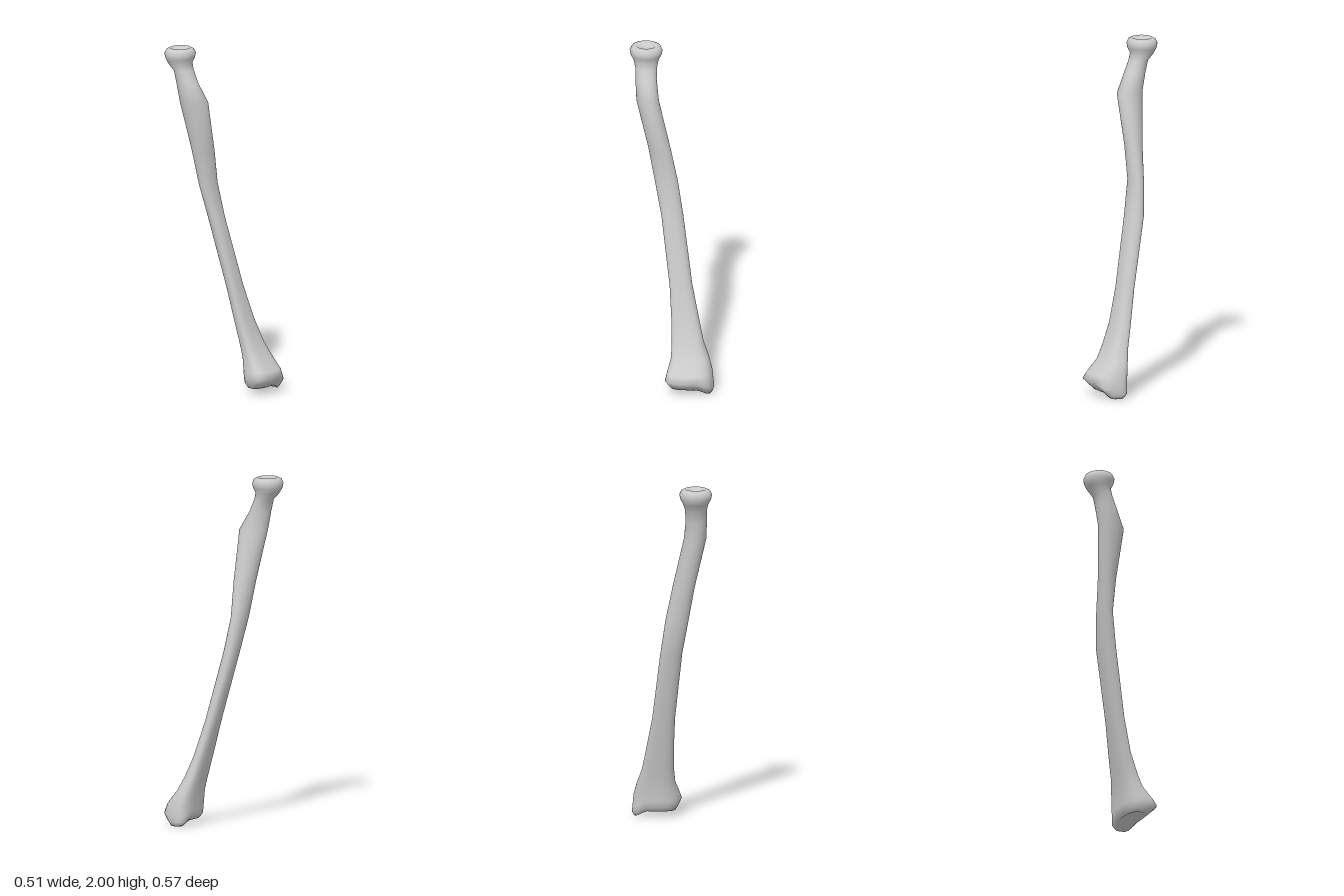
import * as THREE from 'three';

const { smoothstep } = THREE.MathUtils;
const SIDES = 32;

// Flared lower end, shaft, bump and neck: [y, xMin, xMax, zMin, zMax]
const SHAFT = [
  [0.03, 0.01, 0.245, 0.115, 0.225],
  [0.055, -0.005, 0.255, 0.092, 0.25],
  [0.09, -0.02, 0.252, 0.088, 0.285],
  [0.125, -0.012, 0.245, 0.085, 0.262],
  [0.2, 0.008, 0.222, 0.075, 0.2],
  [0.28, 0.01, 0.19, 0.058, 0.163],
  [0.4, 0.005, 0.162, 0.03, 0.115],
  [0.6, -0.01, 0.118, -0.015, 0.065],
  [1, -0.065, 0.058, -0.11, -0.017],
  [1.2, -0.107, 0.026, -0.135, -0.054],
  [1.4, -0.145, -0.015, -0.155, -0.045],
  [1.69, -0.214, -0.083, -0.193, -0.03],
  [1.8, -0.222, -0.1, -0.213, -0.09],
  [1.87, -0.225, -0.1, -0.228, -0.122],
];

// Round head with a shallow dish on top: [y, radius]
const HEAD = [[1.91, 0.072], [1.94, 0.088], [1.967, 0.094], [1.99, 0.083], [2, 0.062], [1.985, 0.035], [1.98, 0]];
const headRing = ([y, r]) => [y, -0.165 - r, -0.165 + r, -0.2 - r * 0.93, -0.2 + r * 0.93];

// A smaller ring set into the lower joint surface
function jointRing(scale, rise) {
  const [y, x0, x1, z0, z1] = SHAFT[0];
  const cx = (x0 + x1) / 2, cz = (z0 + z1) / 2;
  const rx = ((x1 - x0) / 2) * scale, rz = ((z1 - z0) / 2) * scale;
  return [y + rise, cx - rx, cx + rx, cz - rz, cz + rz];
}

const rounded = (v, p) => Math.sign(v) * Math.pow(Math.abs(v), p);

function loft(sections) {
  const positions = [];
  const index = [];
  sections.forEach(([y, x0, x1, z0, z1], i) => {
    // sections are boxy below and round above, and lean one way below, the other near the bump
    const power = 0.73 + 0.27 * smoothstep(y, 0.1, 1.5);
    const skew = -0.25 + 0.45 * smoothstep(y, 1, 1.35) - 0.2 * smoothstep(y, 1.65, 1.82);
    for (let j = 0; j < SIDES; j++) {
      const t = (j / SIDES) * Math.PI * 2;
      const x = (x0 + x1) / 2 + ((x1 - x0) / 2) * rounded(Math.cos(t), power);
      const z = (z0 + z1) / 2 + ((z1 - z0) / 2) * rounded(Math.sin(t + skew), power);
      // the pointed tip hangs below the outer side of the joint
      const drop = y < 0.1 ? 0.03 * smoothstep(x, 0.16, 0.235) : 0;
      positions.push(x, y - drop, z);
      if (i < sections.length - 1) {
        const a = i * SIDES + j;
        const b = i * SIDES + ((j + 1) % SIDES);
        index.push(a, a + SIDES, b, b, a + SIDES, b + SIDES);
      }
    }
  });
  const geometry = new THREE.BufferGeometry();
  geometry.setAttribute('position', new THREE.Float32BufferAttribute(positions, 3));
  geometry.setIndex(index);
  geometry.computeVertexNormals();
  return geometry;
}

export function createModel() {
  const group = new THREE.Group();
  group.name = 'forearmBone';
  const sections = [jointRing(0, 0.025), jointRing(0.5, 0.02), ...SHAFT, ...HEAD.map(headRing)];
  const bone = new THREE.Mesh(loft(sections), new THREE.MeshStandardMaterial({ color: 0xcccccc }));
  bone.name = 'bone';
  group.add(bone);
  return group;
}
